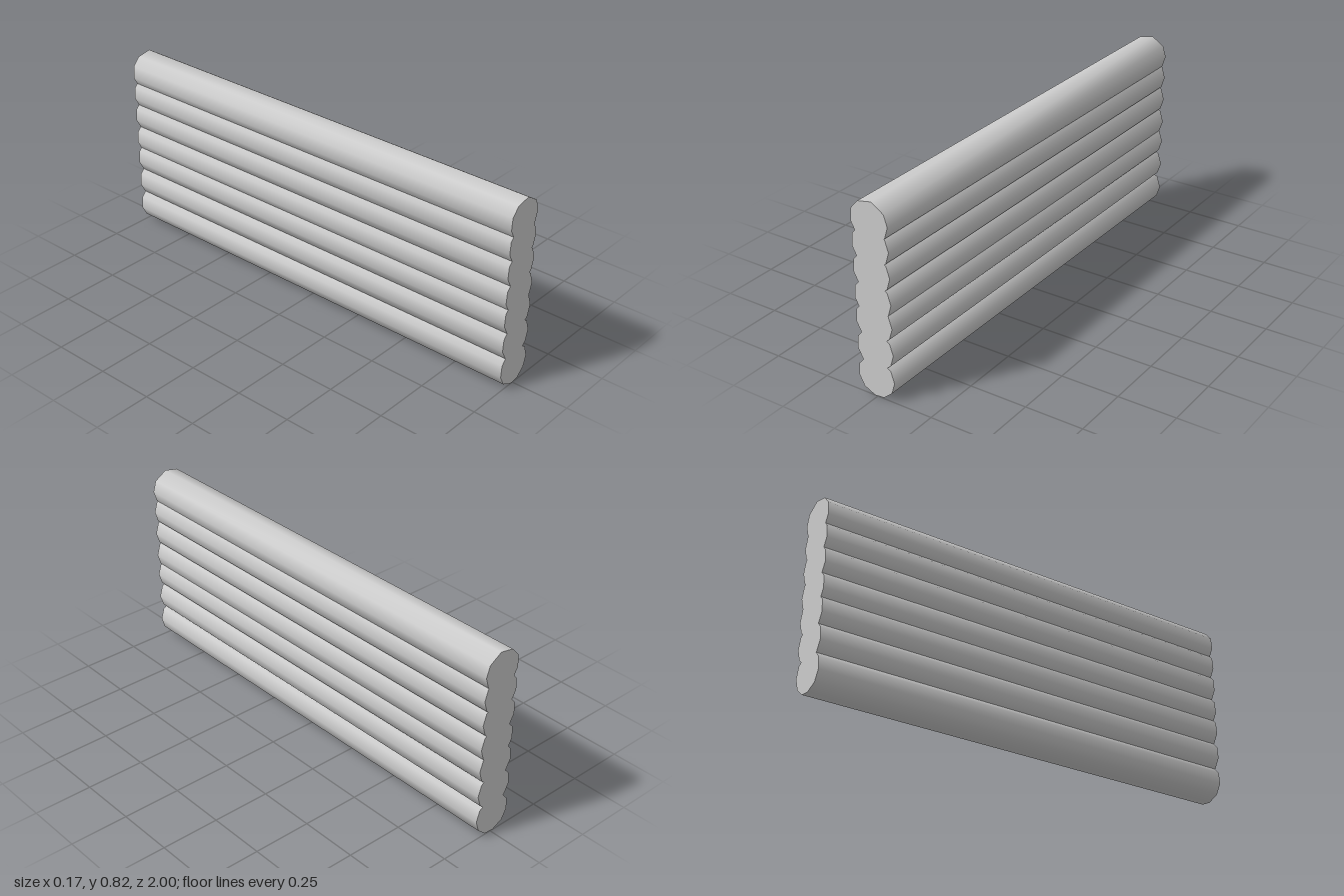
import * as THREE from 'three';
import { toCreasedNormals } from 'three/addons/utils/BufferGeometryUtils.js';

// Uneven ten-sided log section, centred on its axis
const section = [
  [0.084, 0], [0.069, 0.048], [0.014, 0.083], [-0.048, 0.071], [-0.081, 0.034],
  [-0.085, -0.018], [-0.062, -0.061], [-0.013, -0.085], [0.03, -0.081], [0.069, -0.048],
];
// Heights of the log axes, bottom to top
const heights = [0.085, 0.205, 0.32, 0.42, 0.53, 0.636, 0.737];
const length = 2;

export function createModel() {
  const wall = new THREE.Group();
  wall.name = 'logWall';
  const material = new THREE.MeshStandardMaterial({ color: 0xcccccc });

  // One log, rounded along its sides with sharp sawn ends
  const shape = new THREE.Shape(section.map(([x, y]) => new THREE.Vector2(x, y)));
  const extruded = new THREE.ExtrudeGeometry(shape, { depth: length, bevelEnabled: false });
  extruded.translate(0, 0, -length / 2);
  const logGeometry = toCreasedNormals(extruded, Math.PI / 3);

  // Stack of overlapping logs
  heights.forEach((y, i) => {
    const log = new THREE.Mesh(logGeometry, material);
    log.name = `log${i + 1}`;
    log.position.y = y;
    wall.add(log);
  });
  return wall;
}
